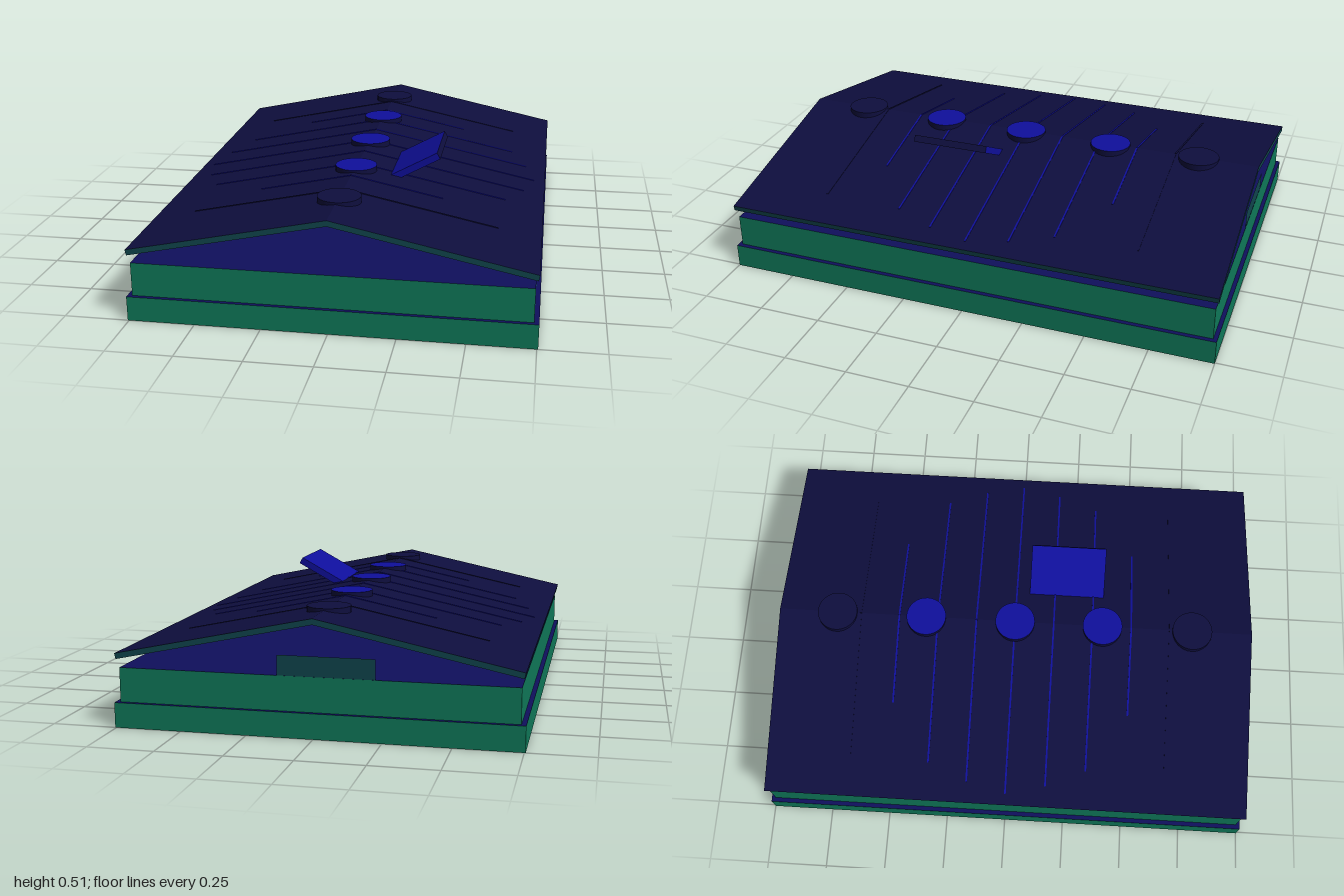
import * as THREE from 'three';

const mat = (name, color, side = THREE.FrontSide) => {
  const m = new THREE.MeshStandardMaterial({ color, side });
  m.name = name;
  return m;
};

export function createModel() {
  const group = new THREE.Group();
  const wall = mat('wall green', 0x0f7a5a);
  const floor = mat('floor navy', 0x0f0f5c);
  const roof = mat('roof navy', 0x0e0e3e);
  const trim = mat('trim teal', 0x10464e);
  const sign = mat('board teal', 0x10464e, THREE.DoubleSide);
  const blue = mat('bright blue', 0x0f0f9c);

  const add = (name, geometry, material, x, y, z, parent = group) => {
    const mesh = new THREE.Mesh(geometry, material);
    mesh.name = name;
    mesh.position.set(x, y, z);
    parent.add(mesh);
    return mesh;
  };
  const box = (w, h, d) => new THREE.BoxGeometry(w, h, d);

  // Two stacked tiers with green sides and navy tops
  const tier = [wall, wall, floor, floor, wall, wall];
  add('lowerTier', box(1.51, 0.095, 2), tier, 0, 0.0475, 0);
  add('upperTier', box(1.474, 0.13, 1.968), tier, 0, 0.16, 0);

  // Thin upright board along the back edge
  add('backBoard', new THREE.PlaneGeometry(0.36, 0.075), sign, -0.045, 0.2625, -0.983);

  // Floating gable roof: each slab slopes down from the ridge
  const rise = 0.158, run = 0.75, t = 0.022;
  const length = Math.hypot(rise, run);
  const seams = [[0, 0.72], [0.163, 0.68], [0.326, 0.61], [0.489, 0.37], [0.652, 0.6]];
  for (const side of [1, -1]) {
    const slope = new THREE.Group();
    slope.name = side > 0 ? 'leftRoofSlope' : 'rightRoofSlope';
    slope.position.y = 0.438;
    slope.rotation.z = -side * Math.atan2(rise, run);
    group.add(slope);
    add('roofSlab', box(length, t, 1.99), [trim, trim, roof, roof, trim, trim],
      side * length / 2, -t / 2, 0, slope);

    // Fine seams running down the slope
    for (const [z, reach] of seams) {
      for (const s of z ? [1, -1] : [1]) {
        add('roofSeam', box(reach, 0.002, 0.007), z > 0.6 ? roof : blue,
          side * reach / 2, 0.001, s * z, slope);
      }
    }
  }

  // Round vents along the ridge; the end pair is darker
  [-0.75, -0.375, 0, 0.368, 0.745].forEach((z, i) => {
    const end = i === 0 || i === 4;
    add('ridgeVent', new THREE.CylinderGeometry(0.083, 0.083, 0.035, 32),
      [roof, end ? roof : blue, roof], 0, 0.4275, z);
  });

  // Tilted hatch passing through the left slope
  const hatch = add('roofHatch', box(0.275, 0.028, 0.315),
    [roof, blue, blue, blue, blue, blue], 0.21, 0.43, 0.2125);
  hatch.rotation.z = 0.5;

  return group;
}
